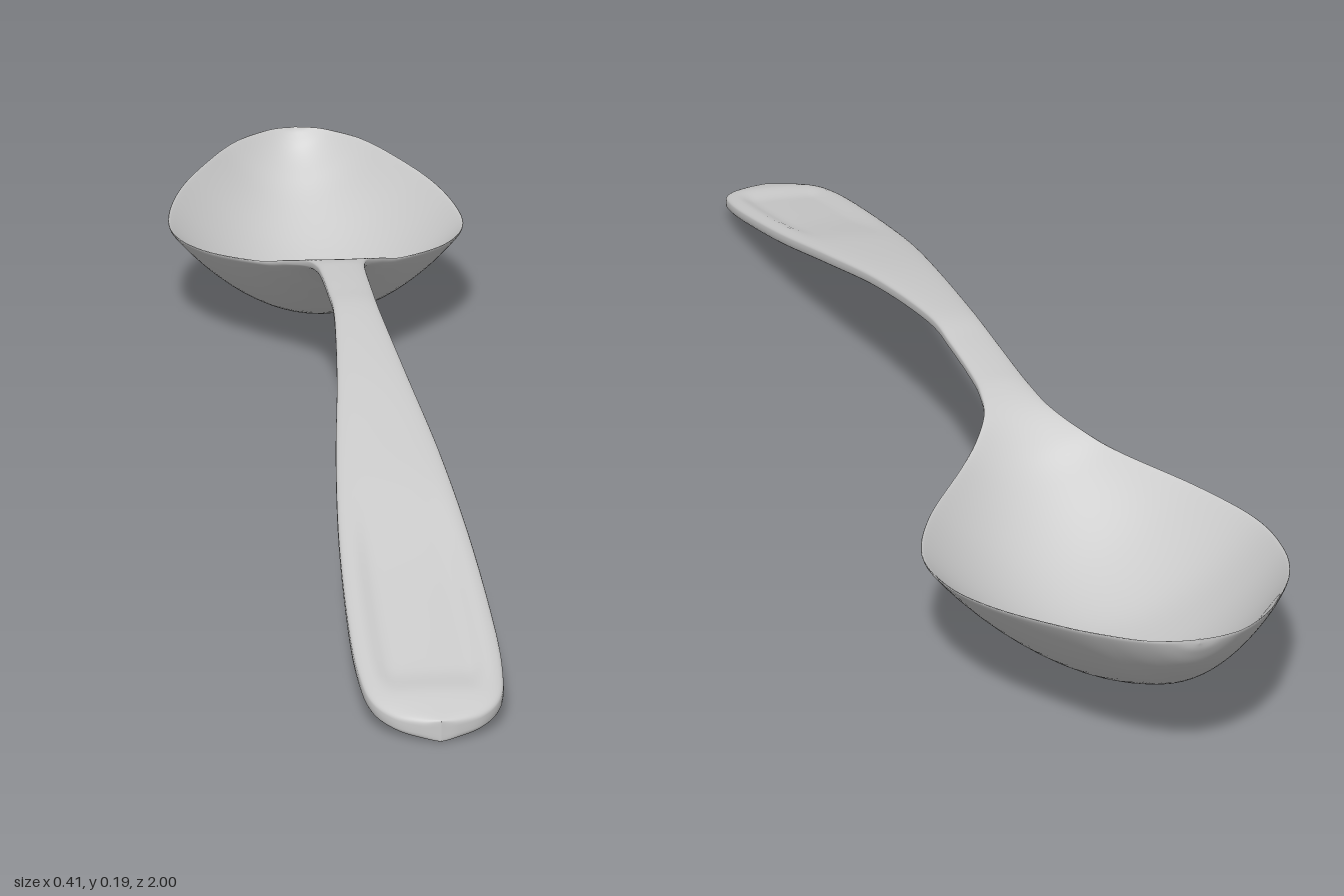
import * as THREE from 'three';

// Stations along the spoon: z, half width, rim height, sag of the middle, half thickness
const STATIONS = [
  [-1, 0, 0.174, 0, 0.003],
  [-0.995, 0.03, 0.174, 0.012, 0.004],
  [-0.98, 0.058, 0.172, 0.032, 0.004],
  [-0.95, 0.09, 0.169, 0.055, 0.005],
  [-0.9, 0.125, 0.162, 0.08, 0.005],
  [-0.8, 0.176, 0.148, 0.105, 0.005],
  [-0.7, 0.203, 0.136, 0.113, 0.005],
  [-0.6, 0.204, 0.131, 0.112, 0.005],
  [-0.5, 0.167, 0.134, 0.088, 0.005],
  [-0.4, 0.1, 0.146, 0.041, 0.006],
  [-0.35, 0.066, 0.159, 0.02, 0.008],
  [-0.3, 0.042, 0.171, 0.005, 0.009],
  [-0.25, 0.033, 0.179, 0, 0.009],
  [-0.2, 0.03, 0.183, 0, 0.009],
  [-0.1, 0.029, 0.187, 0, 0.009],
  [0, 0.03, 0.187, 0, 0.01],
  [0.2, 0.044, 0.165, 0, 0.012],
  [0.4, 0.063, 0.131, 0, 0.014],
  [0.6, 0.077, 0.092, 0, 0.015],
  [0.8, 0.083, 0.055, 0, 0.015],
  [0.9, 0.08, 0.037, 0, 0.015],
  [0.95, 0.071, 0.028, 0, 0.015],
  [0.98, 0.05, 0.022, 0, 0.014],
  [0.995, 0.022, 0.019, 0, 0.013],
  [1, 0, 0.018, 0, 0.012],
];
const STEPS = 6; // rings per station interval
const SIDES = 64; // points around each ring
const NECK = 12; // station where bowl and handle meet

const smoothCurve = (pick) =>
  new THREE.CatmullRomCurve3(STATIONS.map((s) => new THREE.Vector3(...pick(s))), false, 'catmullrom', 0.5);

// Shallow recess pressed into the top of the handle end
function recess(z, u) {
  const along = THREE.MathUtils.smoothstep(z, 0.45, 0.7) * (1 - THREE.MathUtils.smoothstep(z, 0.88, 0.95));
  return 0.009 * along * (1 - THREE.MathUtils.smoothstep(Math.abs(u), 0.5, 0.85));
}

// Loft of all the rings, with smooth normals across the whole spoon
function loftSpoon() {
  const outline = smoothCurve(([z, w, y]) => [z, w, y]);
  const section = smoothCurve(([z, , , sag, t]) => [z, sag, t]);
  const rings = (STATIONS.length - 1) * STEPS;
  const positions = [];
  for (let i = 0; i <= rings; i++) {
    const { x: z, y: w, z: rim } = outline.getPoint(i / rings);
    const { y: sag, z: t } = section.getPoint(i / rings);
    for (let j = 0; j < SIDES; j++) {
      const a = (j / SIDES) * Math.PI * 2;
      const u = Math.cos(a), s = Math.sin(a);
      let y = rim - sag * (1 - u * u) + t * Math.sign(s) * Math.sqrt(Math.abs(s));
      if (s > 0) y -= recess(z, u);
      positions.push(Math.max(w, 0) * u, y, z);
    }
  }
  const geometry = new THREE.BufferGeometry();
  geometry.setAttribute('position', new THREE.Float32BufferAttribute(positions, 3));
  geometry.setIndex(ringFaces(rings));
  geometry.computeVertexNormals();
  return geometry;
}

function ringFaces(rings) {
  const index = [];
  for (let i = 0; i < rings; i++) {
    for (let j = 0; j < SIDES; j++) {
      const k = (j + 1) % SIDES;
      const a = i * SIDES + j, b = i * SIDES + k;
      index.push(a, b, b + SIDES, a, b + SIDES, a + SIDES);
    }
  }
  return index;
}

// Cut a run of rings out of the loft, keeping its normals
function cutPart(loft, name, from, to, material) {
  const geometry = new THREE.BufferGeometry();
  for (const key of ['position', 'normal']) {
    const part = loft.attributes[key].array.slice(from * SIDES * 3, (to + 1) * SIDES * 3);
    geometry.setAttribute(key, new THREE.BufferAttribute(part, 3));
  }
  geometry.setIndex(ringFaces(to - from));
  const mesh = new THREE.Mesh(geometry, material);
  mesh.name = name;
  return mesh;
}

export function createModel() {
  const group = new THREE.Group();
  group.name = 'spoon';
  const material = new THREE.MeshStandardMaterial({ color: 0xcccccc });
  const loft = loftSpoon();
  const neck = NECK * STEPS;
  const end = (STATIONS.length - 1) * STEPS;
  group.add(cutPart(loft, 'bowl', 0, neck, material));
  group.add(cutPart(loft, 'handle', neck, end, material));
  return group;
}
